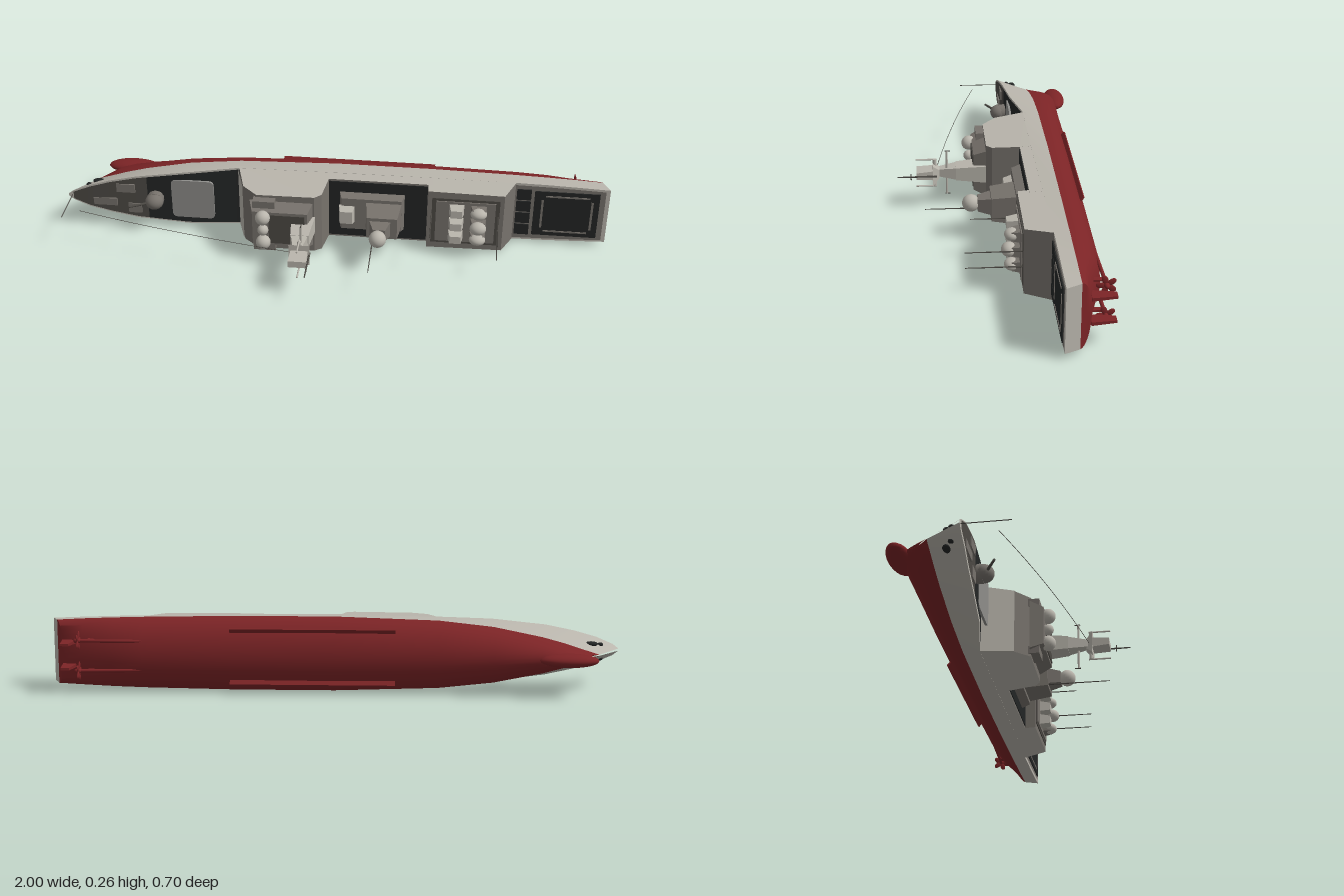
import * as THREE from 'three';
import { toCreasedNormals } from 'three/addons/utils/BufferGeometryUtils.js';

const mat = (name, color) => Object.assign(new THREE.MeshStandardMaterial({ color }), { name });

// Hull stations: deck x, waterline x, keel x, keel height, waterline half beam, deck half beam, deck height
const WL = -0.2;
const ST = [
  [-1.0, -0.915, -0.87, -0.24, 0.002, 0.004, -0.08],
  [-0.98, -0.905, -0.86, -0.27, 0.006, 0.02, -0.08],
  [-0.92, -0.86, -0.83, -0.3, 0.02, 0.046, -0.08],
  [-0.84, -0.8, -0.78, -0.31, 0.04, 0.069, -0.085],
  [-0.74, -0.72, -0.71, -0.308, 0.062, 0.09, -0.09],
  [-0.55, -0.55, -0.55, -0.304, 0.097, 0.112, -0.105],
  [-0.36, -0.36, -0.36, -0.303, 0.118, 0.123, -0.14],
  [0, 0, 0, -0.3, 0.13, 0.127, -0.14],
  [0.35, 0.35, 0.35, -0.298, 0.13, 0.126, -0.145],
  [0.66, 0.66, 0.66, -0.296, 0.125, 0.122, -0.15],
  [0.78, 0.77, 0.77, -0.285, 0.122, 0.12, -0.15],
  [0.9, 0.88, 0.88, -0.25, 0.118, 0.116, -0.15],
  [1.0, 0.975, 0.95, -0.235, 0.113, 0.112, -0.15],
];
const STERN = [1.0, 0.975, 0.95, -0.235, 0, 0, -0.15];

// Deck value (5 half beam, 6 height) at any x
function at(x, k) {
  let i = 0;
  while (i < ST.length - 2 && ST[i + 1][0] < x) i++;
  const [a, b] = [ST[i], ST[i + 1]];
  return THREE.MathUtils.lerp(a[k], b[k], (x - a[0]) / (b[0] - a[0]));
}

// Skin over rows of [x, y, z] points
function loft(rows, crease = 0.6) {
  const n = rows[0].length, idx = [];
  for (let i = 0; i < rows.length - 1; i++) for (let j = 0; j < n - 1; j++) {
    const a = i * n + j, b = a + n;
    idx.push(a, a + 1, b, a + 1, b + 1, b);
  }
  const g = new THREE.BufferGeometry();
  g.setAttribute('position', new THREE.Float32BufferAttribute(rows.flat(2), 3));
  g.setIndex(idx);
  return toCreasedNormals(g, crease);
}

export function createModel() {
  const light = mat('light grey', 0xb9b5ac), red = mat('hull red', 0x7c2426);
  const taupe = mat('taupe grey', 0x77726c), black = mat('deck black', 0x232525);
  const dark = mat('dark taupe', 0x4c4944), grey = mat('hatch grey', 0x8e8d8a);

  // Ship is built upright, then laid on its side with the deck facing the front
  const ship = new THREE.Group();
  ship.name = 'ship';
  ship.rotation.x = Math.PI / 2;
  ship.position.y = 0.13;

  const add = (name, geo, m, x = 0, y = 0, z = 0) => {
    const mesh = new THREE.Mesh(geo, m);
    mesh.name = name;
    mesh.position.set(x, y, z);
    ship.add(mesh);
    return mesh;
  };
  const box = (name, m, x0, x1, y0, y1, z0, z1) =>
    add(name, new THREE.BoxGeometry(x1 - x0, y1 - y0, z1 - z0), m, (x0 + x1) / 2, (y0 + y1) / 2, (z0 + z1) / 2);
  const ball = (name, m, x, y, z, sx, sy = sx, sz = sx) => {
    const b = add(name, new THREE.SphereGeometry(1, 20, 14), m, x, y, z);
    b.scale.set(sx, sy, sz);
    return b;
  };
  const rod = (name, m, a, b, r0, r1 = r0) => {
    const p = new THREE.Vector3(...a), q = new THREE.Vector3(...b), d = q.clone().sub(p);
    const c = p.clone().add(q).multiplyScalar(0.5);
    const mesh = add(name, new THREE.CylinderGeometry(r1, r0, d.length(), 10), m, c.x, c.y, c.z);
    mesh.quaternion.setFromUnitVectors(new THREE.Vector3(0, 1, 0), d.normalize());
    return mesh;
  };
  // Tapered block, four sided
  const tower = (name, m, x, z, y0, y1, w0, d0, w1, d1) => {
    const g = new THREE.BoxGeometry(1, y1 - y0, 1), p = g.attributes.position;
    for (let i = 0; i < p.count; i++) {
      const top = p.getY(i) > 0;
      p.setX(i, p.getX(i) * (top ? w1 : w0));
      p.setZ(i, p.getZ(i) * (top ? d1 : d0));
    }
    g.computeVertexNormals();
    return add(name, g, m, x, (y0 + y1) / 2, z);
  };

  // Hull, split at the waterline
  const rings = [...ST, STERN];
  add('lowerHull', loft(rings.map(([, xw, xk, hk, hw]) => Array.from({ length: 17 }, (_, j) => {
    const a = Math.PI * j / 16, s = Math.sin(a);
    return [xw + (xk - xw) * s, WL + (hk - WL) * s, hw * Math.cos(a)];
  })), 0.9), red);
  add('upperHullLeft', loft(rings.map(([xd, xw, , , hw, hd, y]) => [[xd, y, hd], [xw, WL, hw]])), light);
  add('upperHullRight', loft(rings.map(([xd, xw, , , hw, hd, y]) => [[xw, WL, -hw], [xd, y, -hd]])), light);
  add('deckEdge', loft(ST.map(([x, , , , , h, y]) => [[x, y, -h], [x, y, h]])), light);
  ball('sonarDome', red, -0.8, -0.31, 0, 0.1, 0.041, 0.024);

  // Deck coverings that follow the hull outline
  const deckStrip = (name, m, x0, x1, inset, lift) => add(name, loft(Array.from({ length: 25 }, (_, i) => {
    const x = x0 + (x1 - x0) * i / 24, h = Math.max(at(x, 5) - inset, 0.001), y = at(x, 6) + lift;
    return [[x, y, -h], [x, y, h]];
  })), m);
  deckStrip('bowDeck', dark, -0.98, -0.7, 0.006, 0.002);
  deckStrip('foreDeck', black, -0.7, -0.35, 0.006, 0.002);
  deckStrip('flightDeck', taupe, 0.64, 0.985, 0.008, 0.002);
  for (const [x, z, w, d] of [[-0.86, 0.02, 0.09, 0.03], [-0.78, -0.04, 0.07, 0.035], [-0.75, 0.045, 0.05, 0.04]])
    box('bowDeckPatch', taupe, x - w / 2, x + w / 2, at(x, 6) - 0.002, at(x, 6) + 0.006, z - d / 2, z + d / 2);

  // Missile hatch
  const hatch = new THREE.Shape();
  const [hx, hz, r] = [0.08, 0.08, 0.02];
  hatch.moveTo(-hx + r, -hz);
  [[hx, -hz, hx, -hz + r, hx - r, -hz], [hx, hz, hx - r, hz, hx, hz - r], [-hx, hz, -hx, hz - r, -hx + r, hz], [-hx, -hz, -hx + r, -hz, -hx, -hz + r]]
    .forEach(([cx, cy, ex, ey, sx, sy]) => hatch.lineTo(sx, sy).quadraticCurveTo(cx, cy, ex, ey));
  const hatchMesh = add('missileHatch', new THREE.ExtrudeGeometry(hatch, { depth: 0.008, bevelEnabled: false }), grey, -0.53, -0.108, 0);
  hatchMesh.rotation.set(-Math.PI / 2, 0.12, 0, 'ZXY');
  hatchMesh.rotation.set(-Math.PI / 2, 0, 0);
  hatchMesh.position.y = -0.104;

  // Flight deck panels
  for (let i = 0; i < 4; i++) box('deckPanel', black, 0.665, 0.718, -0.15, -0.144, -0.098 + i * 0.05, -0.054 + i * 0.05);
  box('landingPad', black, 0.73, 0.965, -0.15, -0.144, -0.094, 0.094);
  for (const s of [-1, 1]) {
    box('padMarking', taupe, 0.77, 0.93, -0.146, -0.142, s * 0.075 - 0.003, s * 0.075 + 0.003);
    box('padMarking', taupe, 0.85 + s * 0.09 - 0.004, 0.85 + s * 0.09 + 0.004, -0.146, -0.142, -0.06, 0.06);
  }

  // Superstructure blocks flush with the hull sides, leaning inward with height
  const house = (name, pts) => {
    const g = new THREE.ExtrudeGeometry(new THREE.Shape(pts.map(p => new THREE.Vector2(...p))), { depth: 2, bevelEnabled: false });
    g.translate(0, 0, -1);
    const p = g.attributes.position;
    for (let i = 0; i < p.count; i++)
      p.setZ(i, p.getZ(i) * (at(p.getX(i), 5) - 0.07 * Math.max(0, p.getY(i) + 0.14)));
    g.computeVertexNormals();
    return add(name, g, [light, taupe]);
  };
  house('forwardHouse', [[-0.36, -0.15], [-0.02, -0.15], [-0.02, -0.1], [-0.035, 0], [-0.06, 0.02], [-0.27, 0.02], [-0.325, -0.03]]);
  house('midHouse', [[-0.03, -0.15], [0.36, -0.15], [0.36, -0.1], [-0.03, -0.1]]);
  house('aftHouse', [[0.34, -0.15], [0.66, -0.15], [0.62, -0.06], [0.345, -0.06]]);
  const front = add('houseFront', loft([[-0.362, -0.14], [-0.327, -0.029]].map(([x, y]) => {
    const h = at(x, 5) - 0.07 * (y + 0.14);
    return [[x, y, -h], [x, y, h]];
  })), light);
  front.position.x = -0.001;
  box('midDeck', black, -0.02, 0.342, -0.102, -0.097, -0.116, 0.116);
  box('aftRoof', dark, 0.36, 0.605, -0.062, -0.057, -0.095, 0.095);
  box('aftRoofPanel', taupe, 0.375, 0.59, -0.058, -0.053, -0.085, 0.085);

  // Bridge
  tower('bridge', taupe, -0.18, 0, 0.018, 0.065, 0.23, 0.18, 0.2, 0.14);
  box('bridgeRoof', dark, -0.22, -0.09, 0.062, 0.068, -0.06, 0.06);
  for (const s of [-1, 1]) {
    ball('bridgeDome', light, -0.24, 0.075, s * 0.052, 0.027);
    box('bridgeWing', taupe, -0.28, -0.2, 0.01, 0.05, s * 0.09 - 0.014, s * 0.09 + 0.014);
  }
  ball('directorDome', light, -0.24, 0.075, 0, 0.02);

  // Foremast
  tower('mastBase', light, -0.1, 0, 0.02, 0.13, 0.085, 0.065, 0.065, 0.048);
  tower('mastTrunk', light, -0.1, 0, 0.13, 0.2, 0.06, 0.045, 0.028, 0.026);
  tower('mastPlatform', light, -0.09, 0, 0.19, 0.215, 0.03, 0.03, 0.075, 0.08);
  tower('mastHead', light, -0.09, 0, 0.215, 0.275, 0.06, 0.035, 0.065, 0.025);
  rod('yard', light, [-0.09, 0.163, -0.085], [-0.09, 0.163, 0.085], 0.004);
  rod('upperYard', light, [-0.09, 0.208, -0.053], [-0.09, 0.208, 0.053], 0.007);
  rod('topmast', dark, [-0.055, 0.2, 0], [-0.055, 0.345, 0], 0.004, 0.002);
  rod('topmastYard', dark, [-0.055, 0.295, -0.012], [-0.055, 0.295, 0.012], 0.002);
  for (const s of [-1, 1]) {
    rod('mastAerial', light, [-0.09, 0.2, s * 0.053], [-0.09, 0.277, s * 0.053], 0.003);
    rod('yardAerial', dark, [-0.09, 0.15, s * 0.085], [-0.09, 0.17, s * 0.085], 0.002);
  }

  // Funnel block and aft radar
  tower('boatDeck', taupe, 0.14, 0, -0.1, -0.065, 0.24, 0.15, 0.22, 0.13);
  tower('funnel', taupe, 0.185, 0, -0.09, 0.02, 0.135, 0.11, 0.11, 0.085);
  tower('radarPedestal', taupe, 0.178, 0, 0.02, 0.065, 0.075, 0.06, 0.045, 0.045);
  ball('aftRadarDome', light, 0.175, 0.088, 0, 0.031);
  tower('midLauncher', light, 0.05, 0, -0.07, -0.035, 0.06, 0.07, 0.045, 0.05);

  // Domes and launchers on the aft house
  for (const z of [-0.055, 0, 0.055]) {
    const c = z === 0;
    ball('aftDome', light, 0.53, c ? -0.018 : -0.028, z, 0.03, 0.026, c ? 0.024 : 0.02);
    tower('domePedestal', taupe, 0.53, z, -0.06, -0.025, 0.06, 0.04, 0.045, 0.03);
    tower('aftLauncher', light, 0.45, z, -0.057, -0.015, 0.055, 0.042, 0.04, 0.03);
  }

  // Whip aerials, jackstaff and aerial wire
  for (const [x, z, y0, y1] of [[0.155, 0.03, 0.02, 0.25], [0.36, -0.028, -0.06, 0.1], [0.6, 0.028, -0.06, 0.13], [0.6, -0.028, -0.06, 0.13]])
    rod('whipAerial', dark, [x, y0, z], [x, y1, z], 0.0025, 0.0015);
  rod('jackstaff', dark, [-0.985, -0.08, 0], [-0.985, 0.075, 0], 0.0015);
  const wire = new THREE.QuadraticBezierCurve3(new THREE.Vector3(-0.93, 0.025, 0), new THREE.Vector3(-0.55, 0.135, 0), new THREE.Vector3(-0.1, 0.205, 0));
  add('aerialWire', new THREE.TubeGeometry(wire, 24, 0.001, 5), dark);

  // Bow gun
  rod('gunMount', taupe, [-0.67, -0.1, 0], [-0.67, -0.07, 0], 0.032);
  ball('gunTurret', taupe, -0.67, -0.068, 0, 0.034, 0.033, 0.03);
  rod('gunBarrel', dark, [-0.69, -0.055, 0], [-0.755, -0.02, 0], 0.005, 0.004);

  // Paired underwater fittings and anchors
  for (const s of [-1, 1]) {
    const keel = box('bilgeKeel', red, -0.21, 0.36, -0.012, 0.012, -0.003, 0.003);
    keel.position.set(0.075, -0.277, s * 0.089);
    keel.rotation.x = -s * 0.85;
    rod('shaft', red, [0.62, -0.28, s * 0.05], [0.89, -0.288, s * 0.053], 0.006);
    box('shaftStrut', red, 0.835, 0.855, -0.288, -0.245, s * 0.053 - 0.003, s * 0.053 + 0.003);
    ball('propellerHub', red, 0.885, -0.288, s * 0.053, 0.014, 0.009, 0.009);
    for (let i = 0; i < 5; i++) {
      const a = i * Math.PI * 0.4;
      const blade = ball('propellerBlade', red, 0.882, -0.288 + 0.019 * Math.cos(a), s * 0.053 + 0.019 * Math.sin(a), 0.003, 0.015, 0.01);
      blade.rotation.x = a;
    }
    tower('rudder', red, 0.925, s * 0.042, -0.315, -0.235, 0.03, 0.008, 0.05, 0.012);
    ball('anchor', black, -0.895, -0.14, s * 0.03, 0.024, 0.014, 0.009);
    ball('anchorPort', black, -0.93, -0.12, s * 0.025, 0.01, 0.01, 0.007);
  }

  const model = new THREE.Group();
  model.name = 'warship';
  model.add(ship);
  return model;
}
